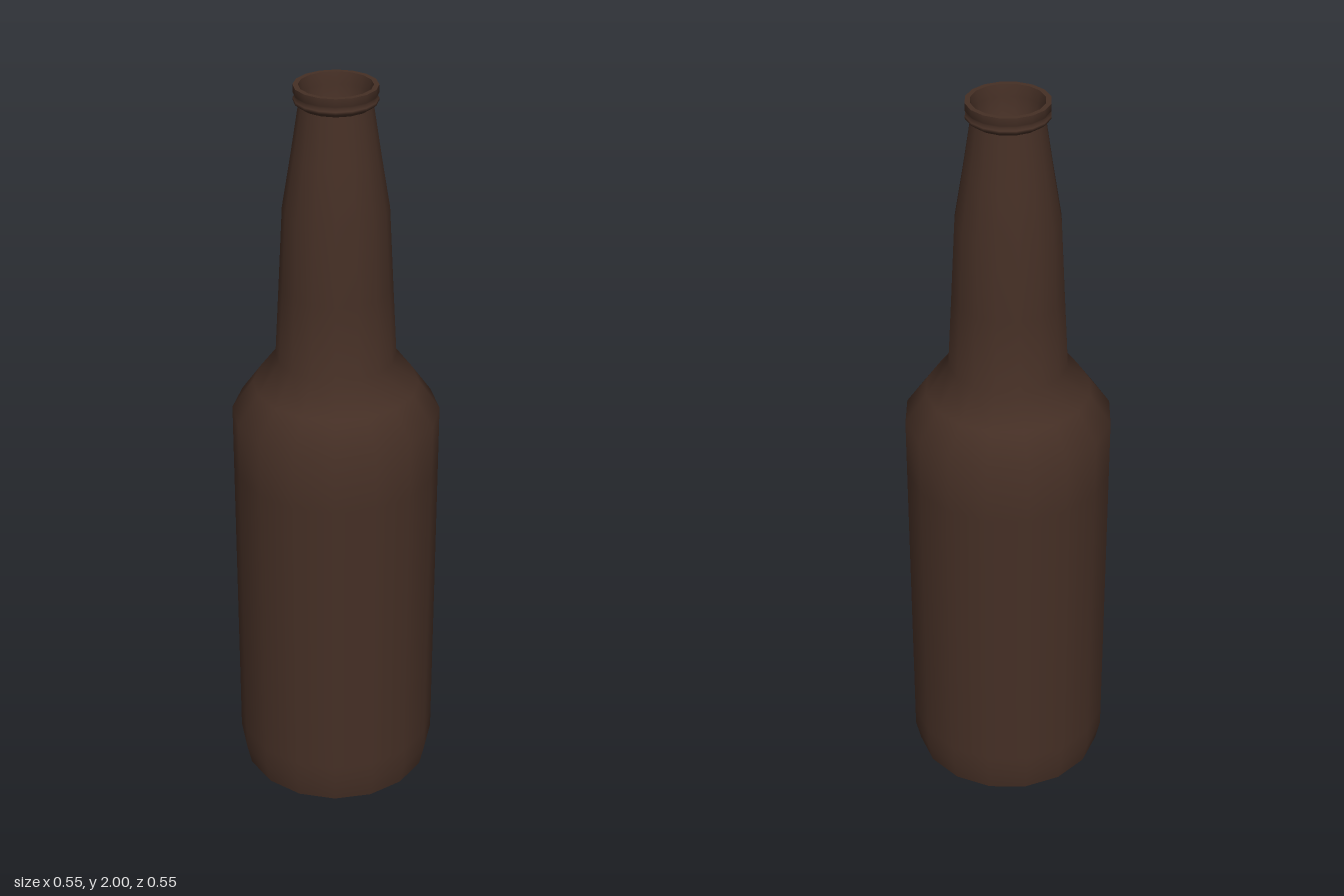
import * as THREE from 'three';

const SIDES = 16;

export function createModel() {
  const bottle = new THREE.Group();
  bottle.name = 'bottle';

  const brownGlass = new THREE.MeshStandardMaterial({ color: 0x452f25 });
  brownGlass.name = 'brownGlass';

  // Turn a [radius, height] profile around the y axis
  const turn = (name, profile) => {
    const points = profile.map(([r, y]) => new THREE.Vector2(r, y));
    const mesh = new THREE.Mesh(new THREE.LatheGeometry(points, SIDES), brownGlass);
    mesh.name = name;
    bottle.add(mesh);
  };

  // Shallow hollow underneath
  turn('baseHollow', [[0, 0.035], [0.13, 0.03], [0.21, 0.015], [0.235, 0]]);
  turn('footRing', [[0.235, 0], [0.26, 0]]);

  // Body, shoulder and tapering neck
  turn('bodyAndNeck', [
    [0.26, 0], [0.273, 0.06], [0.273, 0.12], [0.273, 0.95], [0.273, 1.11],
    [0.217, 1.19], [0.157, 1.27], [0.146, 1.47], [0.135, 1.68],
    [0.112, 1.82], [0.092, 1.95],
  ]);

  // Double-ridged lip
  turn('lip', [
    [0.092, 1.95], [0.105, 1.96], [0.105, 1.967], [0.098, 1.973],
    [0.105, 1.98], [0.105, 2],
  ]);
  turn('rim', [[0.105, 2], [0.092, 2]]);

  // Inside of the mouth
  turn('mouth', [[0.092, 2], [0.086, 1.97], [0.08, 1.9], [0.05, 1.87], [0, 1.86]]);

  return bottle;
}
